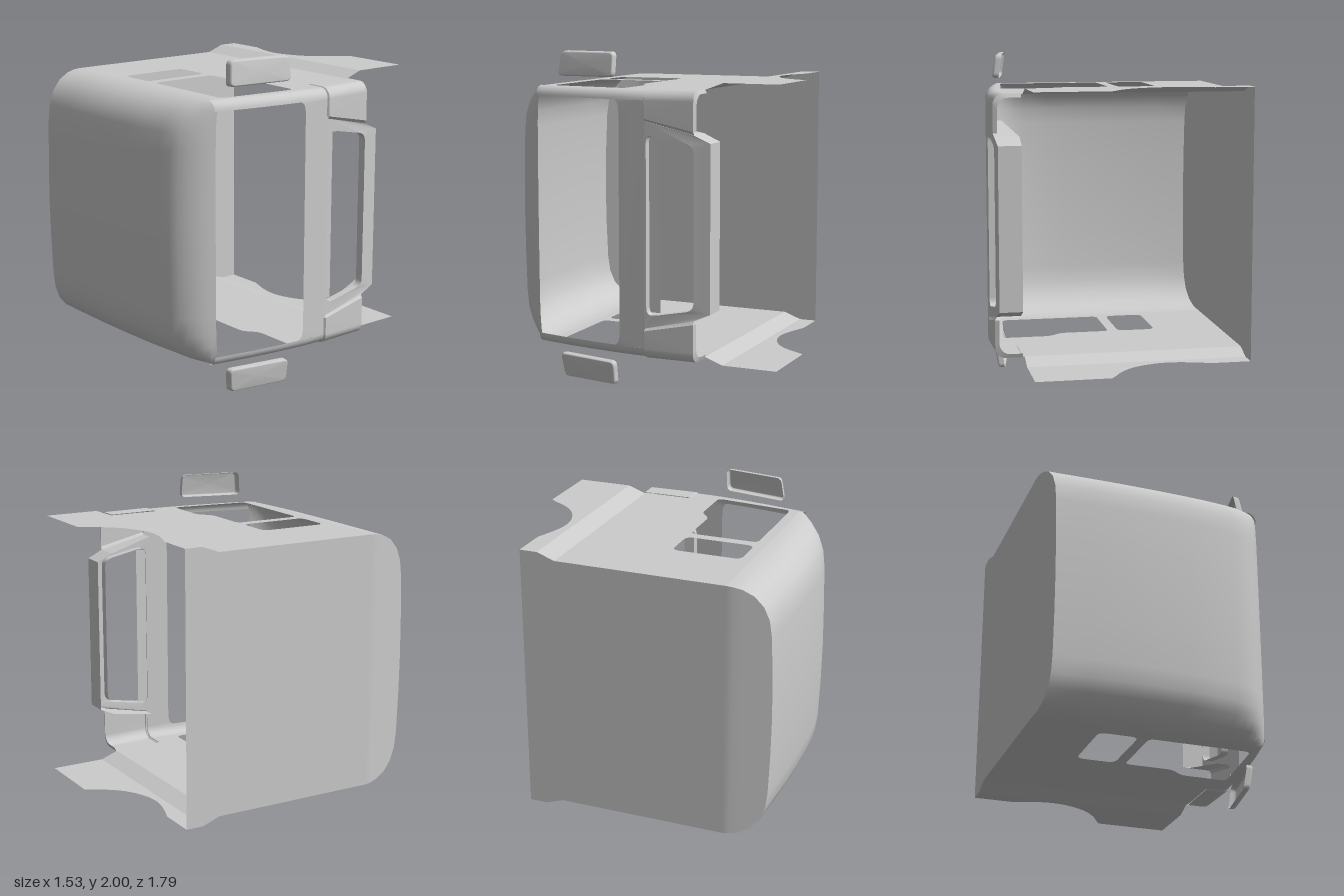
import * as THREE from 'three';

const paint = new THREE.MeshStandardMaterial({ color: 0xcccccc, side: THREE.DoubleSide });
paint.name = 'light grey';

// Surface through rows of [x, y, z] points
function loft(rows) {
  const n = rows[0].length, idx = [];
  for (let i = 0; i < rows.length - 1; i++)
    for (let j = 0; j < n - 1; j++) {
      const a = i * n + j, b = a + n;
      idx.push(a, b, a + 1, b, b + 1, a + 1);
    }
  const g = new THREE.BufferGeometry();
  g.setAttribute('position', new THREE.Float32BufferAttribute(rows.flat(2), 3));
  g.setIndex(idx);
  g.computeVertexNormals();
  return g;
}

// Closed outline whose corners are rounded by radius r (third value overrides r)
function rounded(pts, r, Type = THREE.Shape) {
  const s = new Type(), n = pts.length;
  pts.forEach((p, i) => {
    const P = new THREE.Vector2(p[0], p[1]), rad = p[2] ?? r;
    const toward = (q) => {
      const d = new THREE.Vector2(q[0], q[1]).sub(P);
      return P.clone().addScaledVector(d, Math.min(0.49, rad / d.length()));
    };
    const a = toward(pts[(i + n - 1) % n]), b = toward(pts[(i + 1) % n]);
    if (i) s.lineTo(a.x, a.y); else s.moveTo(a.x, a.y);
    if (rad > 0) s.quadraticCurveTo(P.x, P.y, b.x, b.y);
  });
  s.closePath();
  return s;
}

// Flat shape whose (u, v) points are placed in space by a rule
function plate(shape, place) {
  const g = new THREE.ShapeGeometry(shape, 8), p = g.attributes.position;
  for (let i = 0; i < p.count; i++) p.setXYZ(i, ...place(p.getX(i), p.getY(i)));
  g.computeVertexNormals();
  return g;
}

// Piecewise linear lookup
function lookup(table, t) {
  for (let i = 1; i < table.length; i++) {
    const [a, va] = table[i - 1], [b, vb] = table[i];
    if (t <= b) return va + (vb - va) * Math.max(0, (t - a) / (b - a));
  }
  return table[table.length - 1][1];
}

const frontX = (z) => lookup([[-0.55, 0.74], [-0.45, 0.75], [-0.15, 0.755], [0, 0.75],
  [0.2, 0.73], [0.4, 0.70], [0.6, 0.66], [0.63, 0.652]], z);
const wallX = (z) => -0.77 + Math.max(0, z - 0.62) * 0.19;
const halfWidth = (x) => x < 0.6 ? 0.79
  : 0.73 + 0.06 * Math.sqrt(Math.max(0, 1 - ((x - 0.6) / 0.06) ** 2));

// Rounded edge profile: [share of half width, share of crown height]
const crown = [[1, 0], [0.995, 0.15], [0.98, 0.34], [0.937, 0.58], [0.86, 0.78], [0.76, 0.9],
  [0.63, 0.95], [0.32, 0.985], [0, 1]];

export function createModel() {
  const group = new THREE.Group();
  group.name = 'cabShell';
  const add = (name, geometry) => {
    const m = new THREE.Mesh(geometry, paint);
    m.name = name;
    group.add(m);
  };
  const addPair = (name, g) => {
    add(name + 'Upper', g);
    const o = g.clone().scale(1, -1, 1).translate(0, 2, 0);
    o.computeVertexNormals();
    add(name + 'Lower', o);
  };

  // Crowned end panel, rolling over into the windscreen edge
  const full = [...crown, ...crown.slice(0, -1).reverse().map(([u, f]) => [-u, f])];
  const stations = [[-0.77, 0.875], [-0.5, 0.885], [-0.3, 0.89], [-0.1, 0.888], [0.1, 0.88],
    [0.25, 0.868], [0.4, 0.845], [0.47, 0.825], [0.52, 0.798], [0.56, 0.762], [0.59, 0.73],
    [0.615, 0.695], [0.635, 0.66], [0.652, 0.625]];
  add('crownPanel', loft(stations.map(([x, zt]) => full.map(([u, f]) => {
    const z = 0.6 + (zt - 0.6) * f;
    return [Math.max(x, wallX(z)), 1 + u * halfWidth(x), z];
  }))));

  // Flat rear wall following the flared outline
  const wallRows = [[-0.67, 0.83], [-0.56, 0.83], [-0.45, 0.79], [0.6, 0.79],
    ...crown.slice(1).map(([u, f]) => [0.6 + 0.275 * f, 0.79 * u])];
  add('rearWall', loft(wallRows.map(([z, w]) => [[wallX(z), 1 + w, z], [wallX(z), 1 - w, z]])));

  // Side panels with two window openings
  const edge = [-0.14, 0, 0.2, 0.4, 0.6].map((z) => [frontX(z) - 0.06, z]);
  const side = rounded([[-0.77, -0.45], [0.59, -0.45], [0.59, -0.14], ...edge, [-0.77, 0.6]], 0);
  side.holes.push(
    rounded([[-0.345, 0.11], [-0.105, 0.11], [-0.105, 0.54], [-0.345, 0.54]], 0.05, THREE.Path),
    rounded([[-0.04, 0.11], [0.27, 0.11], [0.35, 0.04], [0.65, 0.04], [0.595, 0.54], [-0.04, 0.54]],
      0.04, THREE.Path));
  addPair('sidePanel', plate(side, (x, z) => [x, 1.79, z]));

  // Flared skirt with wheel arch cutout
  addPair('skirtStep', loft([-0.77, 0.58].map((x) => [[x, 1.79, -0.45], [x, 1.83, -0.56]])));
  const skirt = new THREE.Shape();
  skirt.moveTo(-0.77, -0.56);
  skirt.lineTo(-0.77, -0.67);
  skirt.lineTo(-0.53, -0.67);
  skirt.splineThru([[-0.43, -0.635], [-0.34, -0.613], [-0.27, -0.607], [-0.19, -0.617],
    [-0.1, -0.65], [-0.02, -0.70], [0.05, -0.775], [0.09, -0.84], [0.13, -0.9]]
    .map(([x, z]) => new THREE.Vector2(x, z)));
  skirt.lineTo(0.58, -0.9);
  skirt.lineTo(0.58, -0.56);
  skirt.closePath();
  addPair('skirt', plate(skirt, (x, z) => [x, 1.83, z]));

  // Rounded pillars beside the windscreen opening
  const arc = [0, 1, 2, 3, 4, 5, 6].map((i) => i * Math.PI / 12);
  addPair('pillar', loft([-0.14, 0, 0.1, 0.2, 0.3, 0.4, 0.5, 0.6, 0.63].map((z) => arc.map((a) =>
    [frontX(z) - 0.06 + 0.06 * Math.sin(a), 1.73 + 0.06 * Math.cos(a), z]))));

  // Front band below the windscreen with the grille frame, outline in (z, y)
  const half = [[0.12, 1.73, 0], [0.03, 1.73, 0.08]];
  const lower = [[-0.14, 1.73], [-0.14, 1.61], [-0.45, 1.54], [-0.55, 1.495]];
  const flip = (pts) => [...pts].reverse().map(([z, y, r]) => [z, 2 - y, r]);
  const band = rounded([...lower, ...flip(lower), ...flip(half), ...half.slice().reverse()]
    .filter((p, i, all) => all.indexOf(p) === i).sort(() => 0), 0);
  const opening = rounded([[-0.15, 1.53, 0.05], [-0.22, 1.525, 0], [-0.45, 1.48, 0.05],
    [-0.45, 0.52, 0.05], [-0.22, 0.475, 0], [-0.15, 0.47, 0.05]], 0, THREE.Path);
  // Windscreen lower edge runs between the two fillets
  const outline = rounded([...lower, ...flip(lower), [0.11, 0.27, 0], [0.03, 0.27, 0.08],
    [0.03, 1.73, 0.08], [0.11, 1.73, 0]], 0);
  (outline ?? band).holes.push(opening);
  add('frontBand', plate(outline, (z, y) => [frontX(z), y, z]));

  // Return walls inside the grille opening and a recessed ledge
  const rim = opening.getPoints(8);
  add('grilleReturn', loft([0, 0.05].map((d) => rim.map((p) => [frontX(p.x) - d, p.y, p.x]))));
  add('grilleLedge', loft([-0.15, -0.22].map((z) =>
    [[frontX(z) - 0.045, 1.52, z], [frontX(z) - 0.045, 0.48, z]])));

  // Flange folded back from the grille's outer edge
  const lip = [...lower.slice(1), ...flip(lower.slice(1))];
  for (let i = 0; i < lip.length - 1; i++)
    add('grilleFlange', loft([lip[i], lip[i + 1]].map(([z, y]) =>
      [[frontX(z), y, z], [z > -0.4 ? 0.67 : 0.6, y, z]])));

  // Wrap-around corner pieces with a small lip at their end
  const corner = (z, x, yIn) => [[0.59, 1.795, z], [x - 0.065, 1.795, z],
    ...arc.slice(1).map((a) => [x - 0.065 + 0.065 * Math.sin(a), 1.73 + 0.065 * Math.cos(a), z]),
    [x, yIn, z]];
  const first = corner(-0.14, 0.765, 1.625), last = corner(-0.45, 0.757, 1.56);
  addPair('cornerPiece', loft([first, last]));
  const inset = (row, d, z) => row.map(([x, y], i) => [i ? x - d : x, y - (i < row.length - 1 ? d : 0), z]);
  addPair('cornerStep', loft([first, inset(first, 0.012, -0.13)]));
  addPair('cornerLip', loft([last, inset(last, 0.025, -0.46)]));
  addPair('cornerInnerEdge', loft([[[0.765, 1.625, -0.14], [0.757, 1.56, -0.45]],
    [[0.745, 1.605, -0.14], [0.74, 1.535, -0.45]]]));

  // Mirror housings: hollow shells open toward the rear
  const ring = rounded([[0.095, 1.852], [0.5, 1.848], [0.48, 2], [0.095, 2]], 0.03).getPoints(6);
  const layers = [[0, 1], [0.028, 0.98], [0.038, 0.93], [0.042, 0.85], [0.043, 0]];
  addPair('mirror', loft(layers.map(([d, s]) => ring.map((p) => {
    const z = 0.295 + (p.x - 0.295) * (s ? 1 - (1 - s) * 0.4 : 0), y = 1.925 + (p.y - 1.925) * s;
    return [0.645 + d - 0.17 * (z - 0.1) - 0.15 * (y - 1.925), y, z];
  }))));

  return group;
}
